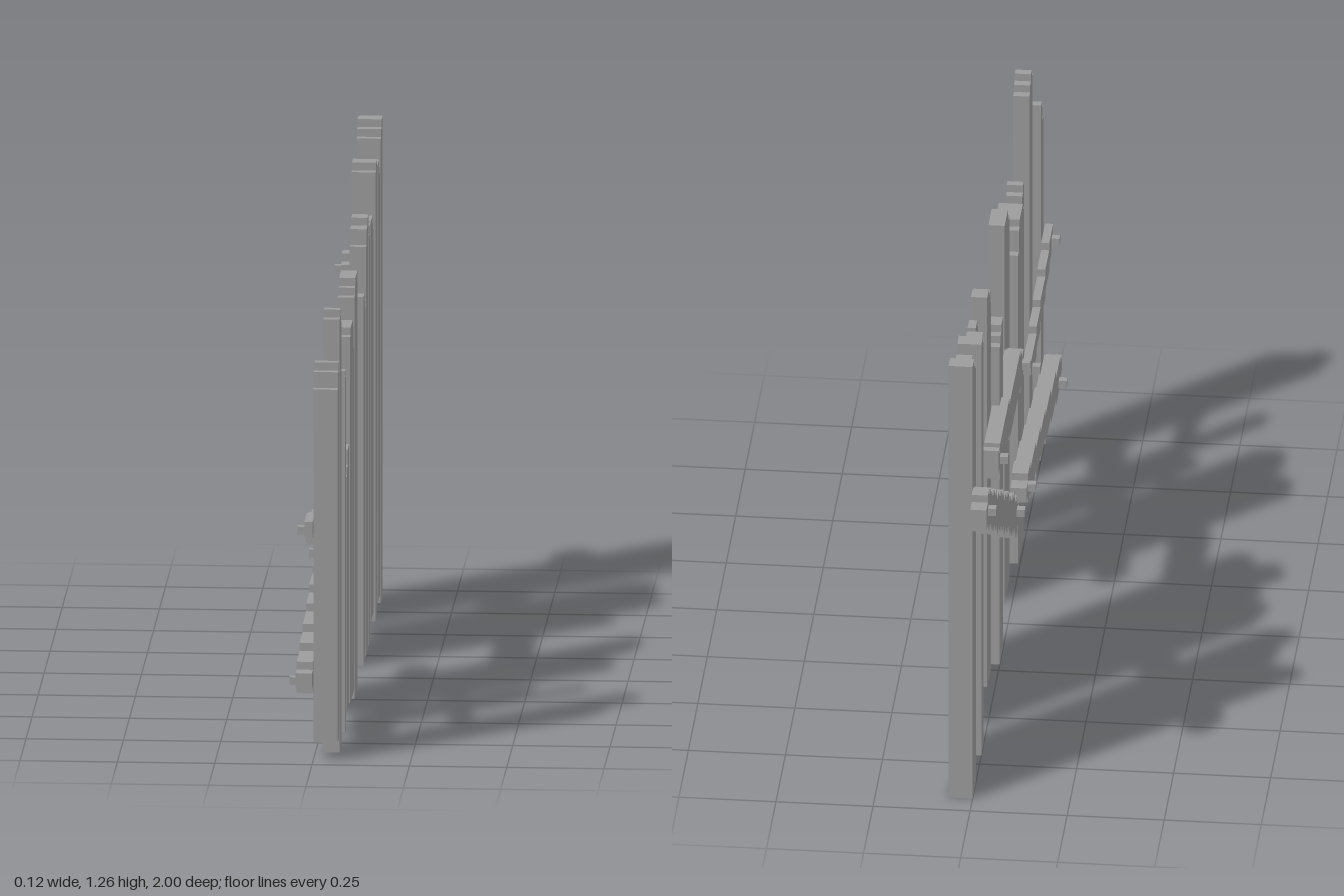
import * as THREE from 'three';

const S = 0.0207; // size of one block step
const material = new THREE.MeshStandardMaterial({ color: 0x9b9b9b, flatShading: true });

// Solid made of block-wide columns running from z0 towards -z; each column is [bottom, top].
function steppedBoard(name, z0, columns, width, x0, x1) {
  const top = [], bottom = [];
  columns.forEach(([lo, hi], i) => {
    const a = -z0 + i * width, b = a + width;
    const prev = columns[i - 1], next = columns[i + 1];
    if (!prev || prev[1] !== hi) top.push(new THREE.Vector2(a, hi));
    if (!next || next[1] !== hi) top.push(new THREE.Vector2(b, hi));
    if (!prev || prev[0] !== lo) bottom.push(new THREE.Vector2(a, lo));
    if (!next || next[0] !== lo) bottom.push(new THREE.Vector2(b, lo));
  });
  const shape = new THREE.Shape([...bottom, ...top.reverse()]);
  const geometry = new THREE.ExtrudeGeometry(shape, { depth: x1 - x0, bevelEnabled: false });
  geometry.rotateY(Math.PI / 2);
  geometry.translate(x0, 0, 0);
  const mesh = new THREE.Mesh(geometry, material);
  mesh.name = name;
  return mesh;
}

// Upright planks: start z, end z, bottom, peak, back x, steps cut off the top of each column
const planks = [
  [0.938, 0.877, 0.045, 1.035, 0, [3, 1, 0]],
  [0.858, 0.77, 0, 1.16, 0.02, [1, 0, 1, 2]],
  [0.623, 0.583, 0, 0.95, 0.02, [0, 1]],
  [0.564, 0.457, 0.045, 0.72, 0.041, [3, 2, 0, 0, 0]],
  [0.415, 0.268, 0.028, 1.012, 0, [1, 0, 0, 0, 0, 1, 4]],
  [0.248, 0.118, 0, 1.098, 0.02, [2, 1, 0, 0, 0, 0]],
  [-0.133, -0.219, 0, 0.97, 0, [0, 0, 1, 2]],
  [-0.239, -0.342, 0, 1.14, 0.02, [3, 1, 1, 0, 0]],
  [-0.367, -0.43, 0, 1.098, 0.041, [1, 0, 0]],
  [-0.448, -0.555, 0.045, 1.098, 0.02, [0, 0, 0, 1, 2]],
  [-0.64, -0.704, 0, 1.202, 0, [1, 0, 0]],
  [-0.725, -0.828, 0.028, 1.182, 0.02, [0, 0, 0, 1, 2]],
  [-0.85, -0.934, 0, 1.263, 0, [2, 1, 0, 0]],
];

// Nailed rails: two points on the centre line, z ends, height in steps, x range, [z, y] of each peg
const rails = [
  { name: 'lowerLeftRail', p: [0.94, 0.213], q: [0.08, 0.347], z: [1, 0.06], h: 4, x: [-0.042, 0], pegs: [[0.92, 0.203], [0.1, 0.35]] },
  { name: 'upperLeftRail', p: [0.95, 0.605], q: [0.43, 0.51], z: [0.98, 0.4], h: 3, x: [-0.021, 0], pegs: [[0.945, 0.605], [0.435, 0.51]] },
  { name: 'middleRail', p: [0.2, 0.668], q: [-0.46, 0.718], z: [0.2, -0.46], h: 5, x: [-0.021, 0.02], pegs: [[0.16, 0.672], [-0.42, 0.715]] },
  { name: 'slantedRail', p: [-0.15, 0.4], q: [-0.945, 0.853], z: [-0.14, -1], h: 5, x: [-0.042, 0], pegs: [[-0.19, 0.435], [-0.95, 0.855]] },
];

export function createModel() {
  const group = new THREE.Group();
  group.name = 'brokenFence';

  planks.forEach(([z0, z1, lo, peak, x0, cuts], i) => {
    const columns = cuts.map((c) => [lo, peak - c * S]);
    group.add(steppedBoard(`plank${i + 1}`, z0, columns, (z0 - z1) / cuts.length, x0, 0.062));
  });

  for (const { name, p, q, z, h, x, pegs } of rails) {
    const n = Math.round((z[0] - z[1]) / S);
    const width = (z[0] - z[1]) / n;
    const columns = [];
    for (let i = 0; i < n; i++) {
      // Sloping centre line, level at the ends, snapped to the block steps
      const t = THREE.MathUtils.clamp((z[0] - (i + 0.5) * width - p[0]) / (q[0] - p[0]), 0, 1);
      const centre = THREE.MathUtils.lerp(p[1], q[1], t);
      const lo = Math.round(centre / S - h / 2 + 0.4) - 0.4;
      const cut = i < 2 || i >= n - 2 ? 1 : 0; // worn ends
      columns.push([(lo + cut) * S, (lo + h - (h > 3 ? cut : 0)) * S]);
    }
    group.add(steppedBoard(name, z[0], columns, width, x[0], x[1]));

    // Pegs sticking out of the back of the rail
    for (const [pz, py] of pegs) {
      const peg = new THREE.Mesh(new THREE.BoxGeometry(0.03, S, S), material);
      peg.name = `${name}Peg`;
      peg.position.set(x[0] - S + 0.015, py, pz);
      group.add(peg);
    }
  }
  return group;
}
